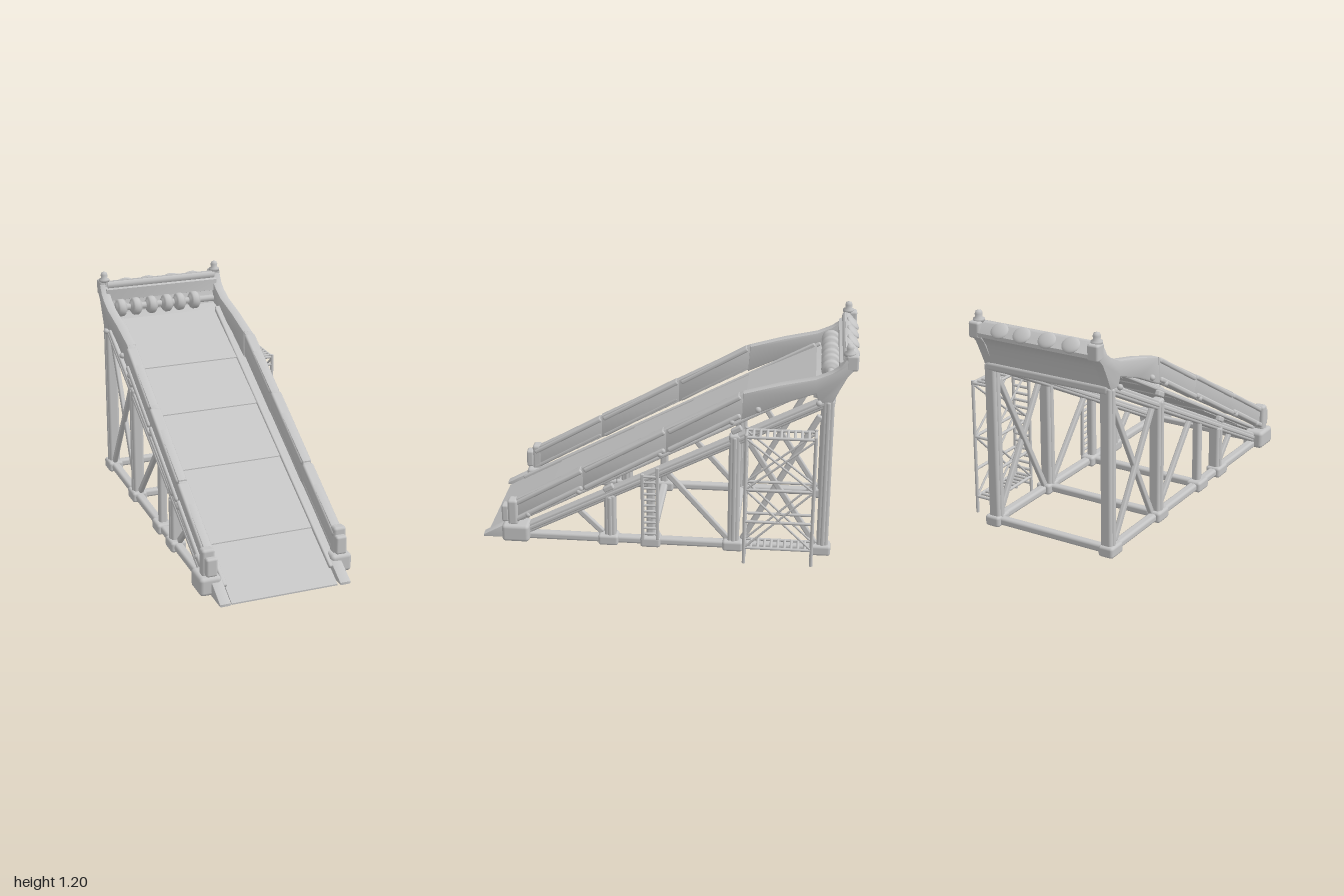
import * as THREE from 'three';
import { RoundedBoxGeometry } from 'three/addons/geometries/RoundedBoxGeometry.js';
import { toCreasedNormals } from 'three/addons/utils/BufferGeometryUtils.js';

const CX = -0.05;                                 // centre line of the ramp
const grey = new THREE.MeshStandardMaterial({ color: 0xc4c4c4 });
grey.name = 'lightGrey';
const deckY = z => 0.01 + 0.545 * (0.98 - z);     // height of the sliding surface

export function createModel() {
  const root = new THREE.Group();
  root.name = 'slideRamp';

  const add = (name, geo, x = 0, y = 0, z = 0) => {
    const m = new THREE.Mesh(geo, grey);
    m.name = name;
    m.position.set(x, y, z);
    root.add(m);
    return m;
  };
  const block = (name, w, h, d, x, y, z, r = 0.012) =>
    add(name, new RoundedBoxGeometry(w, h, d, 2, r), x, y, z);

  // Straight member between two points: rounded rectangular or round section
  const beam = (name, a, b, w, h, r = 0.01) => {
    const A = new THREE.Vector3(...a), B = new THREE.Vector3(...b);
    const m = add(name, new RoundedBoxGeometry(w, h, A.distanceTo(B), 2, r));
    m.position.copy(A).lerp(B, 0.5);
    m.lookAt(B);
    return m;
  };
  const rod = (name, a, b, r) => {
    const A = new THREE.Vector3(...a), B = new THREE.Vector3(...b);
    const g = new THREE.CylinderGeometry(r, r, A.distanceTo(B), 10).rotateX(Math.PI / 2);
    const m = add(name, g);
    m.position.copy(A).lerp(B, 0.5);
    m.lookAt(B);
    return m;
  };

  // Side profile given as [z, y] points, extruded across x
  const profile = (name, pts, x, width, bevel = 0.006) => {
    const s = new THREE.Shape(pts.map(p => new THREE.Vector2(...p)));
    const g = new THREE.ExtrudeGeometry(s, {
      depth: width - 2 * bevel, bevelEnabled: bevel > 0, bevelSize: bevel,
      bevelThickness: bevel, bevelOffset: -bevel, bevelSegments: 2,
    });
    g.translate(0, 0, -(width - 2 * bevel) / 2).rotateY(-Math.PI / 2);
    return add(name, toCreasedNormals(g, 0.7), x, 0, 0);
  };

  // Five sliding panels, each slightly overlapping the one below
  const joints = [0.985, 0.67, 0.24, -0.1, -0.41, -0.78];
  for (let i = 0; i < 5; i++) {
    const z0 = joints[i], z1 = joints[i + 1];
    const y0 = deckY(z0) + (i ? 0.006 : 0), y1 = deckY(z1) - (i === 4 ? 0.015 : 0);
    profile('slidePanel', [[z0, y0], [z0, y0 - (i ? 0.02 : 0.008)], [z1, y1 - 0.02], [z1, y1]], CX, 0.575, 0);
  }

  // Curved headboard with a front board and a sloping top
  profile('headboard', [[-0.77, 0.90], [-0.87, 0.885], [-0.892, 0.94], [-0.92, 1.01], [-0.955, 1.06],
    [-0.99, 1.075], [-0.992, 1.095], [-0.95, 1.14], [-0.925, 1.145], [-0.918, 1.105], [-0.895, 1.1],
    [-0.895, 1.035], [-0.91, 1.03], [-0.89, 0.96], [-0.77, 0.94]], CX, 0.68);
  rod('headboardLip', [CX - 0.33, 1.12, -0.935], [CX + 0.33, 1.12, -0.935], 0.025);
  for (const x of [-0.26, -0.125, 0.02, 0.15]) {
    const lamp = add('headboardLamp', new THREE.SphereGeometry(1, 20, 12), x, 1.118, -0.968);
    lamp.scale.set(0.05, 0.016, 0.044);
    lamp.rotation.x = -0.78;
  }

  // Rollers on an axle at the top of the slide
  rod('rollerAxle', [CX - 0.3, 1.0, -0.855], [CX + 0.3, 1.0, -0.855], 0.02);
  const wheel = new THREE.LatheGeometry([[0.018, -0.034], [0.03, -0.032], [0.032, -0.024], [0.043, -0.023],
    [0.05, -0.014], [0.051, 0], [0.05, 0.014], [0.043, 0.023], [0.032, 0.024], [0.03, 0.032], [0.018, 0.034]]
    .map(p => new THREE.Vector2(...p)), 20).rotateZ(Math.PI / 2);
  for (const x of [-0.32, -0.23, -0.135, -0.04, 0.038, 0.13]) add('roller', wheel, x, 1.0, -0.855);

  // Everything that is mirrored on both sides of the ramp
  for (const s of [-1, 1]) {
    const at = d => CX + s * d;

    // Stepped side walls with rounded top rims
    const walls = [[0.85, 0.43], [0.44, -0.015], [-0.01, -0.41]];
    walls.forEach(([a, b], i) => {
      const lift = i === 0 ? 0.145 : 0.152;
      profile('sideWall', [[a, deckY(a) + 0.016], [b, deckY(b) + 0.016], [b, deckY(b) + lift],
        [a, deckY(a) + lift]], at(0.348), 0.045 + i * 0.002);
      beam('wallRim', [at(0.35), deckY(a) + lift - 0.018, a - 0.01],
        [at(0.35), deckY(b) + lift - 0.018, b + 0.01], 0.062, 0.028, 0.012);
      beam('wallFoot', [at(0.355), deckY(a) + 0.032, a - 0.01],
        [at(0.355), deckY(b) + 0.032, b + 0.01], 0.064, 0.028, 0.012);
    });
    profile('upperWall', [[-0.40, 0.77], [-0.60, 0.865], [-0.78, 0.93], [-0.80, 0.885], [-0.87, 0.885],
      [-0.90, 0.95], [-0.94, 1.03], [-0.985, 1.08], [-0.985, 1.13], [-0.93, 1.13], [-0.90, 1.08],
      [-0.86, 1.05], [-0.78, 1.015], [-0.60, 0.975], [-0.41, 0.92]], at(0.345), 0.055, 0.01);

    // Corner knobs of the headboard
    block('knobBase', 0.062, 0.085, 0.065, at(0.342), 1.105, -0.96);
    const knob = [[0, 0], [0.03, 0], [0.03, 0.015], [0.018, 0.022], [0.02, 0.04], [0.015, 0.054], [0, 0.06]];
    add('knob', new THREE.LatheGeometry(knob.map(p => new THREE.Vector2(...p)), 16), at(0.34), 1.14, -0.945);

    // Inner rail and supporting stringer
    beam('innerRail', [at(0.29), deckY(0.9) + 0.006, 0.9], [at(0.29), deckY(-0.77) - 0.006, -0.77], 0.024, 0.024, 0.008);
    beam('walkway', [at(0.315), deckY(0.85), 0.85], [at(0.315), deckY(-0.8) - 0.02, -0.8], 0.05, 0.016, 0.006);
    beam('stringer', [at(0.335), deckY(0.8) - 0.065, 0.8], [at(0.335), deckY(-0.87) - 0.12, -0.87], 0.06, 0.052);
    beam('stringerRib', [at(0.335), deckY(0.8) - 0.065, 0.8], [at(0.335), deckY(-0.87) - 0.12, -0.87], 0.07, 0.022, 0.008);

    // Front foot, toe wedge and wall end cap
    block('frontFoot', 0.115, 0.1, 0.15, at(0.357), 0.06, 0.81, 0.02);
    profile('toeWedge', [[1.0, 0.005], [1.0, 0.018], [0.87, 0.09], [0.74, 0.09], [0.74, 0.005]], at(0.325), 0.06);
    block('wallEndCap', 0.068, 0.15, 0.055, at(0.358), 0.175, 0.825, 0.015);
    block('wallEndStep', 0.06, 0.1, 0.04, at(0.352), 0.165, 0.868, 0.012);

    // Base beam with foot blocks and posts
    beam('baseBeam', [at(0.345), 0.032, 0.78], [at(0.345), 0.032, -0.87], 0.05, 0.042, 0.015);
    for (const z of [0.305, 0.075, -0.37, -0.84]) block('footBlock', 0.085, 0.06, 0.11, at(0.345), 0.032, z, 0.015);
    for (const [z, top] of [[0.295, 0.3], [0.075, 0.42], [-0.372, 0.68], [-0.85, 0.9]]) {
      const w = z === 0.075 ? 0.045 : 0.062;
      block('post', w, top - 0.03, w, at(0.34), (top + 0.03) / 2, z, 0.014);
      if (w > 0.05) block('postRib', w + 0.012, top - 0.05, 0.024, at(0.34), (top + 0.03) / 2, z, 0.01);
    }

    // Diagonal braces, [z, y] to [z, y]
    [[-0.42, 0.06, -0.81, 0.8], [-0.81, 0.06, -0.42, 0.68], [-0.34, 0.06, 0.0, 0.45], [0.34, 0.06, 0.48, 0.2]]
      .forEach(([z0, y0, z1, y1], i) => beam('brace', [at(0.335 + (i === 1 ? 0.012 : 0)), y0, z0],
        [at(0.335 + (i === 1 ? 0.012 : 0)), y1, z1], 0.026, 0.032, 0.008));

    // Round bolts along the wall
    for (const z of [0.74, 0.46, 0.02, -0.355, -0.49, -0.8]) {
      add('bolt', new THREE.SphereGeometry(0.016, 12, 8), at(0.378), deckY(z) + (z < -0.7 ? -0.095 : 0.025), z);
    }
    for (const z of [0.3, -0.38]) block('bracket', 0.03, 0.03, 0.06, at(0.36), deckY(z) - 0.04, z, 0.008).rotation.x = 0.5;
  }

  // Cross beams joining both sides
  for (const z of [0.075, -0.37, -0.85]) {
    beam('baseCrossBeam', [CX - 0.34, 0.032, z], [CX + 0.34, 0.032, z], 0.045, 0.042, 0.014);
  }
  beam('topCrossBeam', [CX - 0.36, 0.885, -0.86], [CX + 0.36, 0.885, -0.86], 0.05, 0.05, 0.018);
  beam('toeCrossBeam', [CX - 0.33, 0.04, 0.8], [CX + 0.33, 0.04, 0.8], 0.035, 0.035);

  // Small ladder leaning against the side
  for (const z of [0.035, 0.115]) beam('smallLadderRail', [0.328, 0.05, z], [0.328, 0.48 - (z - 0.035) * 0.5, z], 0.018, 0.018, 0.005);
  for (let y = 0.085; y < 0.45; y += 0.034) rod('smallLadderRung', [0.33, y, 0.035], [0.33, y, 0.115], 0.007);

  // Scaffold tower beside the ramp
  const X0 = 0.359, X1 = 0.459, Z0 = -0.438, Z1 = -0.793;
  for (const x of [X0, X1]) {
    for (const z of [Z0, Z1]) rod('towerPole', [x, 0.008, z], [x, 0.75, z], 0.009);
    for (const y of [0.1, 0.255, 0.44, 0.737]) rod('towerSideRail', [x, y, Z0], [x, y, Z1], 0.008);
    for (const [y0, y1] of [[0.1, 0.44], [0.44, 0.73]]) {
      rod('towerBrace', [x, y0, Z0], [x, y1, Z1], 0.006);
      rod('towerBrace', [x, y1, Z0], [x, y0, Z1], 0.006);
    }
  }
  for (let y = 0.06; y < 0.7; y += 0.0395) rod('towerRung', [X0, y, Z0], [X1, y, Z0], 0.008);
  for (const y of [0.1, 0.44, 0.737]) rod('towerBackRail', [X0, y, Z1], [X1, y, Z1], 0.008);
  for (let i = 0; i < 10; i++) {
    const z = Z0 + (Z1 - Z0) * i / 10;
    for (const y of [0.1, 0.737]) rod('towerSlat', [X0, y, z], [X1, y, z], 0.008);
  }
  return root;
}
